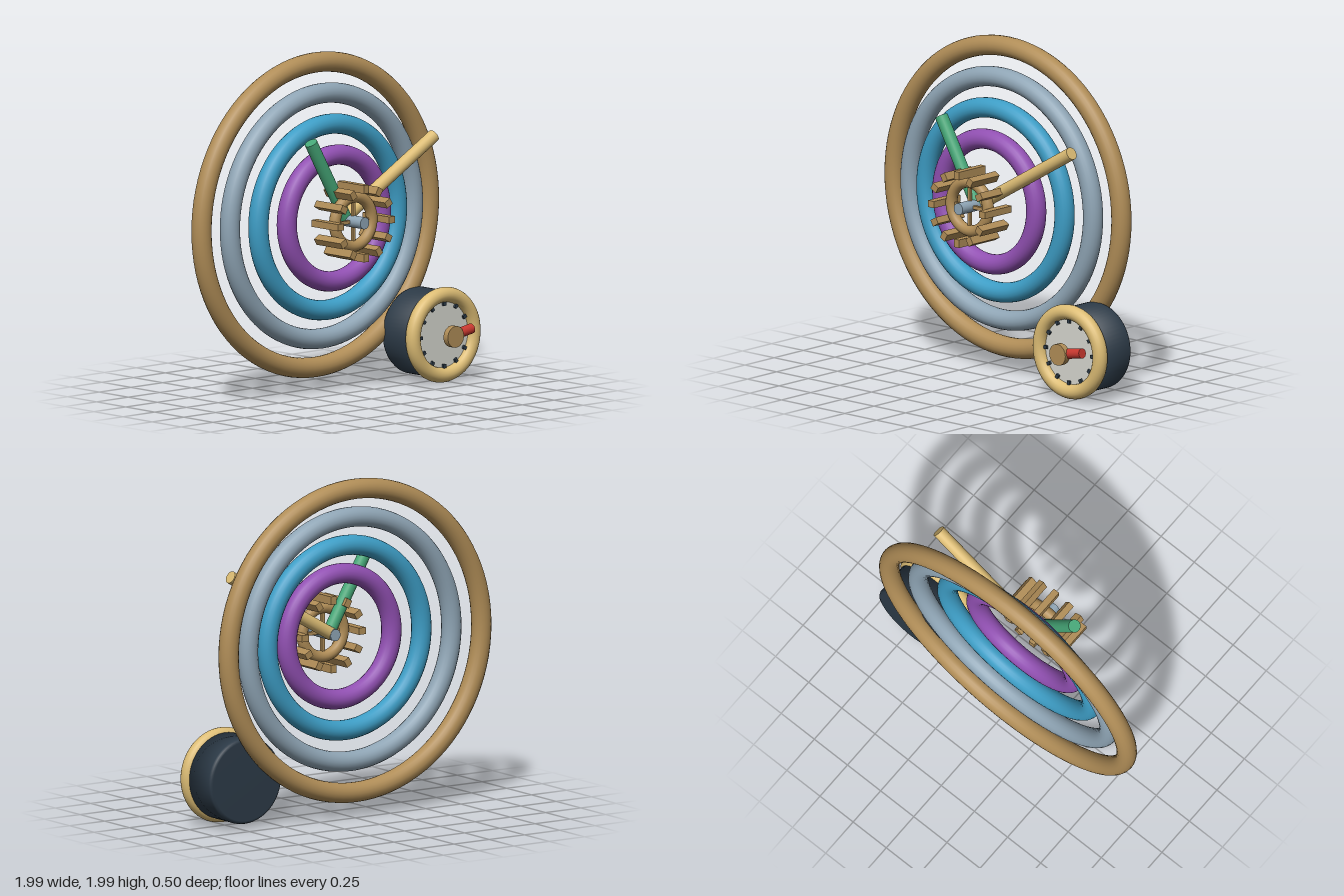
import * as THREE from 'three';

const mat = (name, color) => {
  const m = new THREE.MeshStandardMaterial({ color });
  m.name = name;
  return m;
};

export function createModel() {
  const bronze = mat('bronze', 0xb08d57);
  const brass = mat('brass', 0xdcbc74);
  const steel = mat('steel', 0x8fa5b5);
  const blue = mat('blue', 0x3d9dc5);
  const purple = mat('purple', 0x9150b2);
  const green = mat('green', 0x46a878);
  const dark = mat('dark slate', 0x2c3a47);
  const ivory = mat('pale dial', 0xd6d7cf);
  const red = mat('red', 0xc8382f);

  const model = new THREE.Group();
  model.name = 'ringClock';

  const add = (parent, name, geometry, material, x = 0, y = 0, z = 0) => {
    const mesh = new THREE.Mesh(geometry, material);
    mesh.name = name;
    mesh.position.set(x, y, z);
    parent.add(mesh);
    return mesh;
  };

  // Rod lying in the XY plane, from the parent's axis outwards
  const rod = (parent, name, material, radius, length, degrees, z) => {
    const a = THREE.MathUtils.degToRad(degrees);
    const geometry = new THREE.CylinderGeometry(radius, radius, length, 24);
    geometry.translate(0, length / 2, 0);
    add(parent, name, geometry, material, 0, 0, z).rotation.z = a - Math.PI / 2;
  };

  // Main dial: four nested rings stepping forward
  const dial = new THREE.Group();
  dial.name = 'dial';
  dial.position.set(-0.04, 1.045, 0);
  model.add(dial);

  [['outerRing', bronze], ['secondRing', steel], ['thirdRing', blue], ['innerRing', purple]]
    .forEach(([name, material], i) => {
      add(dial, name, new THREE.TorusGeometry(0.896 - 0.175 * i, 0.059, 20, 96), material,
        0, 0, -0.191 + 0.0535 * i);
    });

  // Hands
  rod(dial, 'longHand', brass, 0.038, 0.83, 30, 0.044);
  rod(dial, 'shortHand', green, 0.038, 0.56, 120, 0.077);

  // Gear wheel: rim, cross spokes and long teeth
  const gear = new THREE.Group();
  gear.name = 'gear';
  gear.position.z = 0.136;
  dial.add(gear);
  add(gear, 'gearRim', new THREE.TorusGeometry(0.145, 0.034, 16, 48), bronze);
  add(gear, 'spokeAcross', new THREE.BoxGeometry(0.29, 0.02, 0.02), bronze);
  add(gear, 'spokeUpright', new THREE.BoxGeometry(0.02, 0.29, 0.02), bronze);
  for (let i = 0; i < 12; i++) {
    const a = (i / 12) * Math.PI * 2;
    add(gear, 'gearTooth', new THREE.BoxGeometry(0.048, 0.04, 0.228), bronze,
      0.202 * Math.cos(a), 0.202 * Math.sin(a), 0).rotation.z = a;
  }

  // Axle
  add(dial, 'axle', new THREE.CylinderGeometry(0.035, 0.035, 0.23, 24), steel, 0, 0, 0.12)
    .rotation.x = Math.PI / 2;

  // Small gauge at the lower left of the dial
  const gauge = new THREE.Group();
  gauge.name = 'gauge';
  gauge.position.set(0.71, 0.28, 0);
  model.add(gauge);
  gauge.position.y = 0.29;

  // Drum with a softened back edge, turned about z
  const profile = [[0, -0.163], [0.235, -0.163], [0.249, -0.157], [0.255, -0.143], [0.255, 0.07], [0, 0.07]]
    .map(([r, z]) => new THREE.Vector2(r, z));
  const drum = new THREE.LatheGeometry(profile, 64);
  drum.rotateX(Math.PI / 2);
  add(gauge, 'gaugeDrum', drum, dark);

  add(gauge, 'gaugeBezel', new THREE.TorusGeometry(0.236, 0.044, 20, 64), brass, 0, 0, 0.09);
  add(gauge, 'gaugeFace', new THREE.CircleGeometry(0.215, 64), ivory, 0, 0, 0.092);
  for (let i = 0; i < 12; i++) {
    const a = (i / 12) * Math.PI * 2;
    add(gauge, 'gaugeTick', new THREE.BoxGeometry(0.028, 0.02, 0.02), dark,
      0.186 * Math.cos(a), 0.186 * Math.sin(a), 0.096).rotation.z = a;
  }
  rod(gauge, 'gaugePointer', red, 0.03, 0.163, 10, 0.16);
  add(gauge, 'gaugeHub', new THREE.CylinderGeometry(0.064, 0.064, 0.038, 16), bronze, 0, 0, 0.181)
    .rotation.x = Math.PI / 2;

  return model;
}
